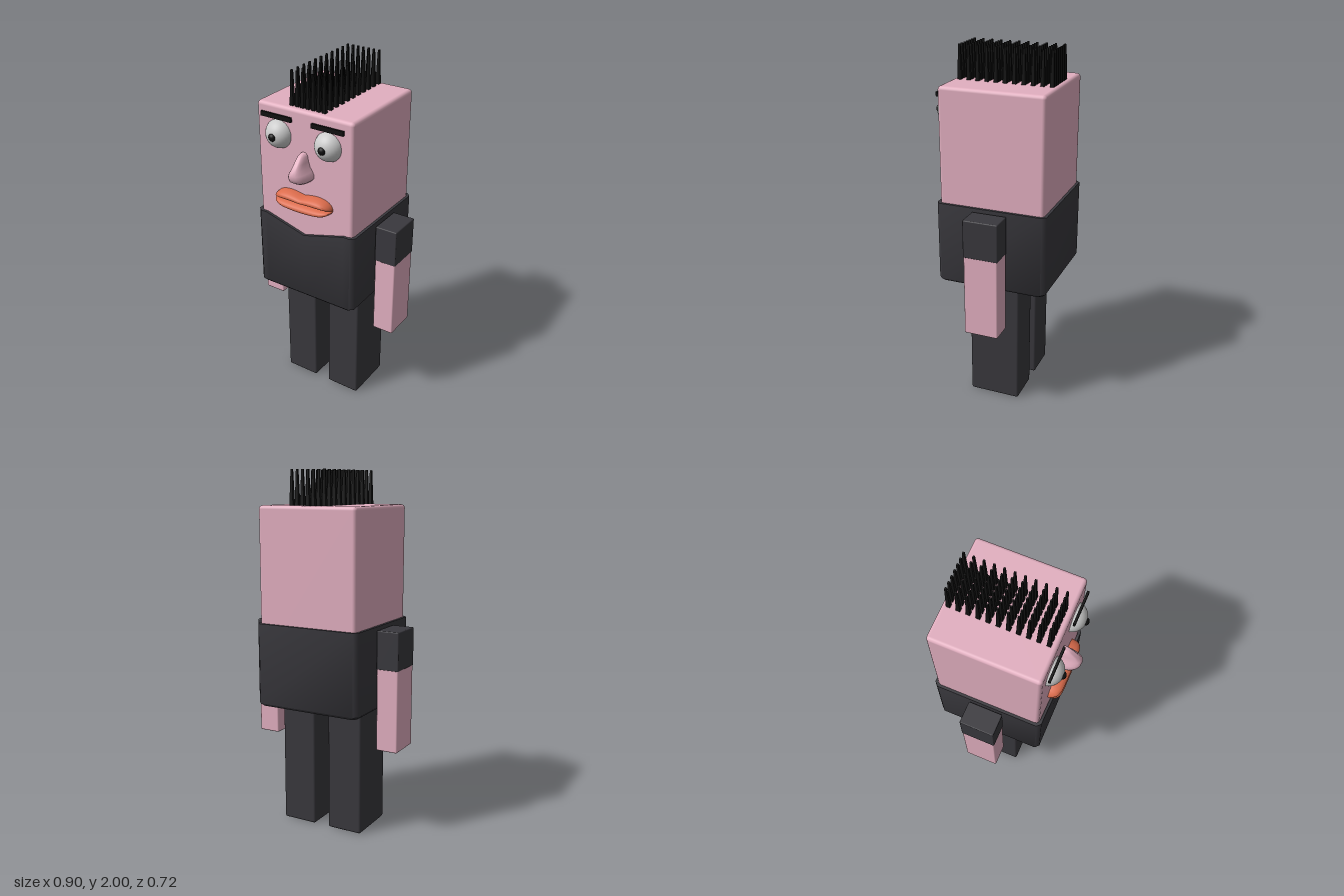
import * as THREE from 'three';
import { mergeGeometries, toCreasedNormals } from 'three/addons/utils/BufferGeometryUtils.js';
import { RoundedBoxGeometry } from 'three/addons/geometries/RoundedBoxGeometry.js';

const material = (color) => new THREE.MeshStandardMaterial({ color });
const skin = material(0xe2afc0);
const cloth = material(0x39383d);
const black = material(0x101010);
const lipColor = material(0xdc6c4c);
const eyeWhite = material(0xcccccc);

const FACE_Z = 0.25; // front plane of the head

function addMesh(parent, name, geometry, mat, x = 0, y = 0, z = 0) {
  const mesh = new THREE.Mesh(geometry, mat);
  mesh.name = name;
  mesh.position.set(x, y, z);
  parent.add(mesh);
  return mesh;
}

// Rounded box given by its limits on each axis
function addBox(parent, name, mat, [x0, x1], [y0, y1], [z0, z1], radius) {
  const geometry = new RoundedBoxGeometry(x1 - x0, y1 - y0, z1 - z0, 2, radius);
  return addMesh(parent, name, geometry, mat, (x0 + x1) / 2, (y0 + y1) / 2, (z0 + z1) / 2);
}

// Skin a list of closed rings, with optional fan caps at either end
function loft(rings, capStart, capEnd, crease) {
  const n = rings[0].length;
  const points = rings.flat();
  const index = [];
  for (let i = 0; i < rings.length - 1; i++) {
    for (let j = 0; j < n; j++) {
      const a = i * n + j, b = i * n + (j + 1) % n;
      index.push(a, b, b + n, a, b + n, a + n);
    }
  }
  const cap = (ring, start, flip) => {
    const centre = [0, 1, 2].map((k) => ring.reduce((sum, p) => sum + p[k], 0) / n);
    const c = points.push(centre) - 1;
    for (let j = 0; j < n; j++) {
      const a = start + j, b = start + (j + 1) % n;
      if (flip) index.push(c, b, a);
      else index.push(c, a, b);
    }
  };
  if (capStart) cap(rings[0], 0, true);
  if (capEnd) cap(rings[rings.length - 1], (rings.length - 1) * n, false);
  const geometry = new THREE.BufferGeometry();
  geometry.setAttribute('position', new THREE.Float32BufferAttribute(points.flat(), 3));
  geometry.setIndex(index);
  return toCreasedNormals(geometry, crease);
}

// Shirt: chamfered footprint with a V neckline at the front and an open top
function shirtGeometry() {
  const neckline = (x, z) => (z > 0.2 ? 1.18 - 0.07 * Math.max(0, 1 - Math.abs(x) / 0.25) : 1.18);
  const ring = (inset, height) => {
    const w = 0.312 - inset, f = 0.267 - inset, b = -0.357 + inset, c = 0.022;
    return [
      [w, f - c], [w, b + c], [w - c, b], [-w + c, b], [-w, b + c], [-w, f - c],
      [-w + c, f], [-0.25, f], [0, f], [0.25, f], [w - c, f],
    ].map(([x, z]) => [x, height ?? neckline(x, z), z]);
  };
  return loft([ring(0.014, 0.715), ring(0, 0.73), ring(0), ring(0.015), ring(0.015, 1)], true, false, 0.9);
}

// Nose: rounded sections of [height, half width, depth]
function noseGeometry() {
  const sections = [
    [1.435, 0.02, 0.03], [1.445, 0.046, 0.078], [1.458, 0.058, 0.098], [1.478, 0.06, 0.107],
    [1.5, 0.05, 0.11], [1.52, 0.036, 0.103], [1.55, 0.027, 0.08], [1.58, 0.021, 0.05], [1.594, 0.01, 0.03],
  ];
  const soft = (v) => Math.sign(v) * Math.abs(v) ** 0.8;
  const rings = sections.map(([y, w, d]) => Array.from({ length: 24 }, (_, j) => {
    const t = (j / 24) * Math.PI * 2;
    return [w * soft(Math.cos(t)), y, FACE_Z - d * soft(Math.sin(t))];
  }));
  return loft(rings, true, true, 1.2);
}

// Lip: oval sections swept across the mouth; side is 1 for upper, -1 for lower
function lipGeometry(side) {
  const steps = 24, rings = [];
  for (let i = 0; i <= steps; i++) {
    const s = -Math.cos((i / steps) * Math.PI);
    const end = Math.sqrt(Math.max(0.002, 1 - Math.abs(s) ** 7));
    const half = end * (side > 0 ? 0.021 + 0.006 * Math.sin(Math.PI * Math.abs(s)) : 0.028 - 0.012 * s * s);
    const y = 1.308 + side * half;
    rings.push(Array.from({ length: 16 }, (_, j) => {
      const t = (j / 16) * Math.PI * 2;
      return [s * 0.177, y + half * Math.cos(t), FACE_Z + 0.063 * end * Math.sin(t)];
    }));
  }
  return loft(rings, true, true, 1.2);
}

// Hair: a grid of tapered square spikes
function hairGeometry() {
  const spikes = [];
  for (let col = 0; col < 7; col++) {
    for (let row = 0; row < 11; row++) {
      const spike = new THREE.CylinderGeometry(0.007, 0.0155, 0.19, 4);
      spike.rotateY(Math.PI / 4);
      spike.translate(0.001 + (col - 3) * 0.0327, 1.905, -0.05 + (row - 5) * 0.0515);
      spikes.push(spike.toNonIndexed());
    }
  }
  const geometry = mergeGeometries(spikes);
  geometry.computeVertexNormals();
  return geometry;
}

export function createModel() {
  const model = new THREE.Group();
  model.name = 'blockFigure';

  // Head and torso
  addBox(model, 'head', skin, [-0.296, 0.296], [0.95, 1.815], [-0.342, FACE_Z], 0.02);
  addMesh(model, 'shirt', shirtGeometry(), cloth);
  addMesh(model, 'hair', hairGeometry(), black);

  // Limbs, mirrored left and right
  for (const [side, label] of [[1, 'left'], [-1, 'right']]) {
    const span = (a, b) => (side > 0 ? [a, b] : [-b, -a]);
    addBox(model, `${label}Leg`, cloth, span(0.044, 0.25), [0, 0.7], [-0.19, 0.102], 0.012);
    addBox(model, `${label}Arm`, skin, span(0.321, 0.446), [0.495, 0.97], [-0.143, 0.05], 0.008);
    addBox(model, `${label}Sleeve`, cloth, span(0.319, 0.448), [0.95, 1.163], [-0.145, 0.052], 0.006);

    // Eye, pupil and floating brow
    const eyeX = side > 0 ? 0.148 : -0.158;
    addMesh(model, `${label}Eye`, new THREE.SphereGeometry(0.08, 32, 20), eyeWhite, eyeX, 1.659, 0.234);
    const pupil = addMesh(model, `${label}Pupil`, new THREE.SphereGeometry(0.022, 20, 14), black, eyeX, 1.658, 0.306);
    pupil.scale.z = 0.9;
    const brow = new THREE.BoxGeometry(0.19, 0.025, 0.012);
    addMesh(model, `${label}Brow`, brow, black, side * 0.157, 1.761, 0.271);
  }

  // Nose and mouth
  addMesh(model, 'nose', noseGeometry(), skin);
  addMesh(model, 'upperLip', lipGeometry(1), lipColor);
  addMesh(model, 'lowerLip', lipGeometry(-1), lipColor);

  return model;
}
